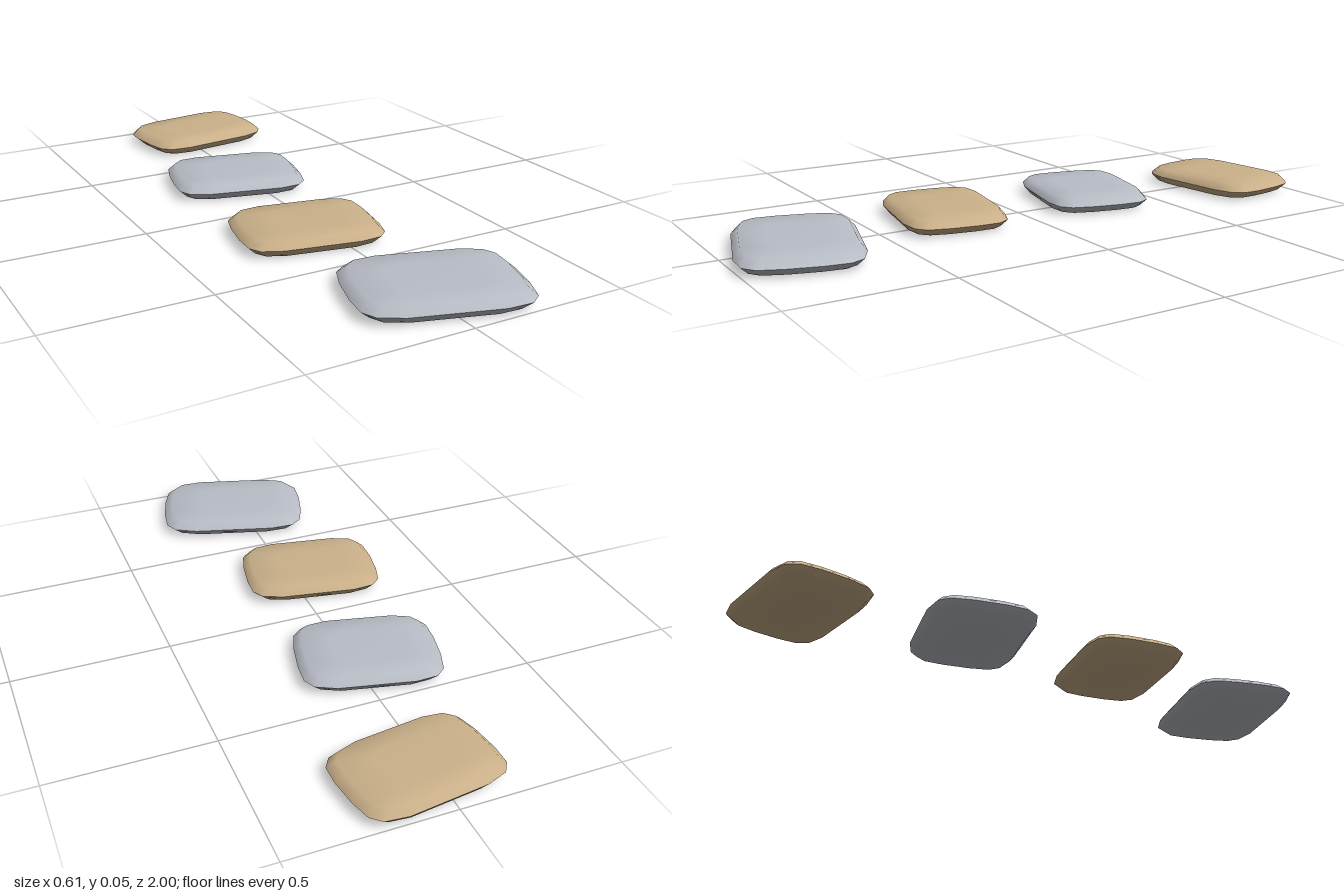
import * as THREE from 'three';

// One corner of the stone outline (unit half-sizes), mirrored into all four corners
const corner = [[1, 0.28], [0.96, 0.69], [0.84, 0.89], [0.54, 0.99]];
const flipped = [...corner].reverse();
const outline = [
  ...corner,
  ...flipped.map(([x, z]) => [-x, z]),
  ...corner.map(([x, z]) => [-x, -z]),
  ...flipped.map(([x, z]) => [x, -z]),
];

// Rings from the rim to the middle: scale of the outline, height above the rim
const rings = [[1, 0], [0.89, 0.024], [0.5, 0.0265]];
const RIM = 0.0275;

// Half of a stone; side is 1 for the upper face and -1 for the lower face
function halfStone(halfX, halfZ, side) {
  const n = outline.length;
  const positions = [];
  const indices = [];
  const tri = (a, b, c) => indices.push(...(side > 0 ? [a, b, c] : [a, c, b]));

  for (const [s, y] of rings) {
    for (const [x, z] of outline) positions.push(x * halfX * s, y * side, z * halfZ * s);
  }
  positions.push(0, RIM * side, 0);
  const pole = rings.length * n;

  for (let r = 0; r < rings.length; r++) {
    for (let i = 0; i < n; i++) {
      const a = r * n + i;
      const b = r * n + (i + 1) % n;
      if (r === rings.length - 1) {
        tri(a, pole, b);
      } else {
        tri(a, a + n, b);
        tri(b, a + n, b + n);
      }
    }
  }
  const geometry = new THREE.BufferGeometry();
  geometry.setAttribute('position', new THREE.Float32BufferAttribute(positions, 3));
  geometry.setIndex(indices);
  geometry.computeVertexNormals();
  return geometry;
}

export function createModel() {
  const model = new THREE.Group();
  model.name = 'steppingStones';

  const grey = new THREE.MeshStandardMaterial({ color: 0xb9bdc6 });
  grey.name = 'greyStone';
  const tan = new THREE.MeshStandardMaterial({ color: 0xcbb18a });
  tan.name = 'sandStone';

  // Stones from back to front: centre, half-sizes and turn in degrees
  const stones = [
    { x: 0.043, z: -0.828, halfX: 0.229, halfZ: 0.160, turn: -7.5, material: tan },
    { x: -0.049, z: -0.295, halfX: 0.223, halfZ: 0.174, turn: 13.2, material: grey },
    { x: -0.070, z: 0.240, halfX: 0.225, halfZ: 0.169, turn: 10.5, material: tan },
    { x: 0.033, z: 0.776, halfX: 0.256, halfZ: 0.188, turn: 16.7, material: grey },
  ];

  stones.forEach(({ x, z, halfX, halfZ, turn, material }, i) => {
    const stone = new THREE.Group();
    stone.name = `stone${i + 1}`;
    for (const side of [1, -1]) {
      const half = new THREE.Mesh(halfStone(halfX, halfZ, side), material);
      half.name = side > 0 ? 'upperFace' : 'lowerFace';
      stone.add(half);
    }
    stone.position.set(x, RIM, z);
    stone.rotation.y = -THREE.MathUtils.degToRad(turn);
    model.add(stone);
  });

  return model;
}
